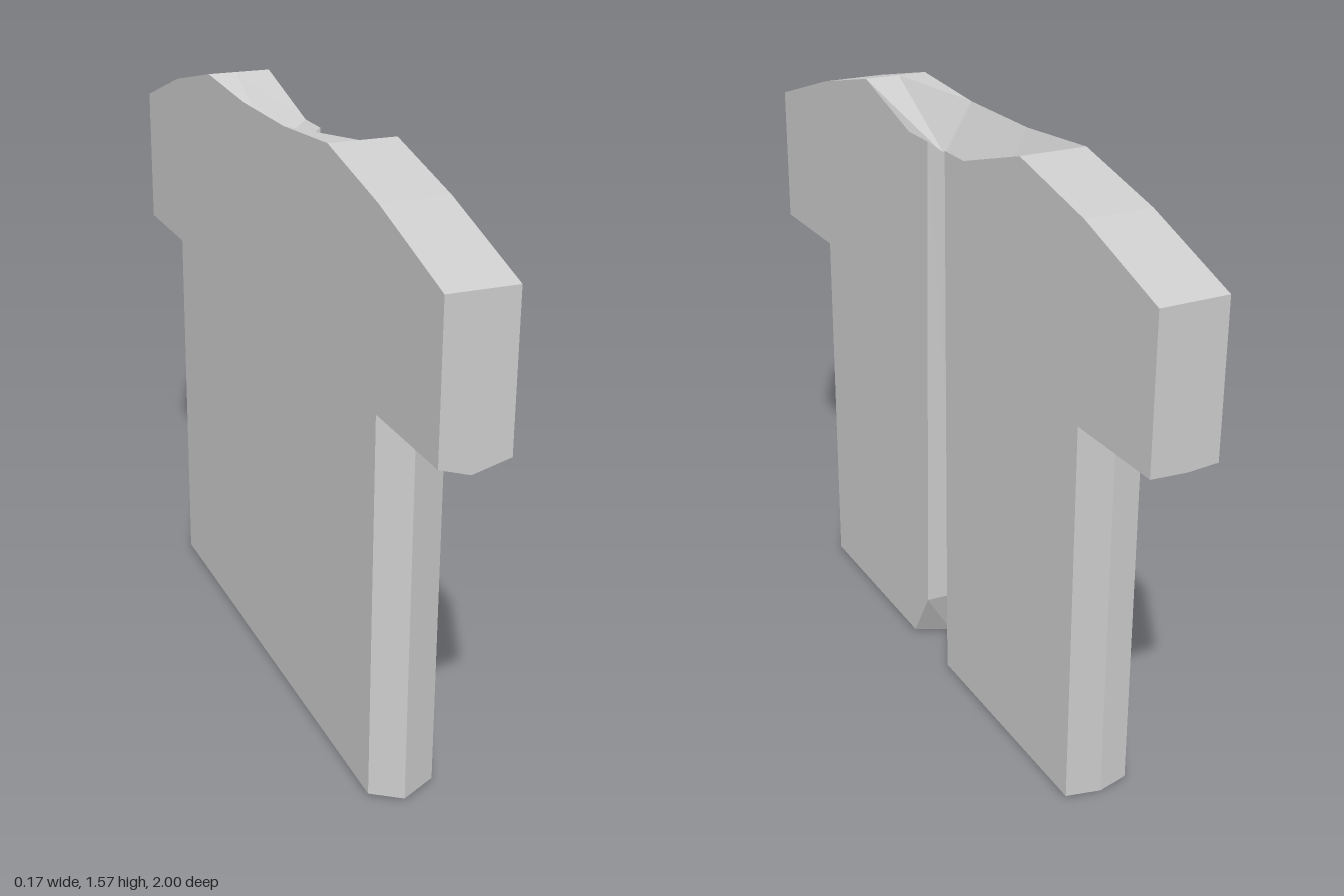
import * as THREE from 'three';

const BACK_X = -0.09, MID_X = -0.012, FRONT_X = 0.083;

// Closed slab between two outlines of [z, y] points, anticlockwise seen from +x
function loft(name, ringA, xA, ringB, xB, capA, material) {
  const pos = [];
  const put = (ring, x, i) => pos.push(x, ring[i][1], ring[i][0]);
  const n = ringA.length;
  for (let i = 0; i < n; i++) {
    const j = (i + 1) % n;
    put(ringA, xA, i); put(ringA, xA, j); put(ringB, xB, j);
    put(ringA, xA, i); put(ringB, xB, j); put(ringB, xB, i);
  }
  const triangles = (ring) =>
    THREE.ShapeUtils.triangulateShape(ring.map(([z, y]) => new THREE.Vector2(-z, y)), []);
  for (const [a, b, c] of triangles(ringB)) [a, b, c].forEach((i) => put(ringB, xB, i));
  if (capA) for (const [a, b, c] of triangles(ringA)) [a, c, b].forEach((i) => put(ringA, xA, i));
  const geometry = new THREE.BufferGeometry();
  geometry.setAttribute('position', new THREE.Float32BufferAttribute(pos, 3));
  geometry.computeVertexNormals();
  const mesh = new THREE.Mesh(geometry, material);
  mesh.name = name;
  return mesh;
}

export function createModel() {
  const group = new THREE.Group();
  group.name = 'shirt';
  const cloth = new THREE.MeshStandardMaterial({ color: 0xcccccc, flatShading: true });
  cloth.name = 'light grey cloth';

  // Shoulder lines shared by all layers
  const rightShoulder = [[-1, 1.405], [-0.71, 1.505], [-0.43, 1.57]];
  const leftShoulder = [[0.4, 1.57], [0.68, 1.505], [1, 1.405]];

  // Sleeve and side seam: outer faces, and the slightly bulging middle seam
  const rightSide = [[-0.71, 0.01], [-0.71, 1.025], [-1, 1.025], ...rightShoulder];
  const rightSeam = [[-0.72, 0], [-0.72, 1.022], [-1, 1.02], ...rightShoulder];
  const leftSide = [...leftShoulder, [1, 1.025], [0.69, 1.025], [0.69, 0.01]];
  const leftSeam = [...leftShoulder, [1, 1], [0.735, 1.005], [0.735, 0.005]];

  // Back half, with the neckline sloping down toward the middle seam
  group.add(loft('backPanel',
    [...rightSide, [-0.16, 1.55], [0.13, 1.55], ...leftSide], BACK_X,
    [...rightSeam, [-0.16, 1.42], [0.13, 1.42], ...leftSeam], MID_X, true, cloth));

  // Front halves, parted by the opening
  group.add(loft('straightFrontPanel',
    [...rightSeam, [-0.16, 1.42], [-0.06, 1.42], [-0.06, 0.002]], MID_X,
    [...rightSide, [-0.16, 1.49], [-0.06, 1.49], [-0.06, 0.01]], FRONT_X, false, cloth));
  group.add(loft('flaredFrontPanel',
    [[0.035, 1.42], [0.13, 1.42], ...leftSeam, [0.11, 0.003], [0.055, 0.155]], MID_X,
    [[0.035, 1.49], [0.14, 1.49], ...leftSide, [0.145, 0.01], [0.06, 0.155]], FRONT_X, false, cloth));

  return group;
}
